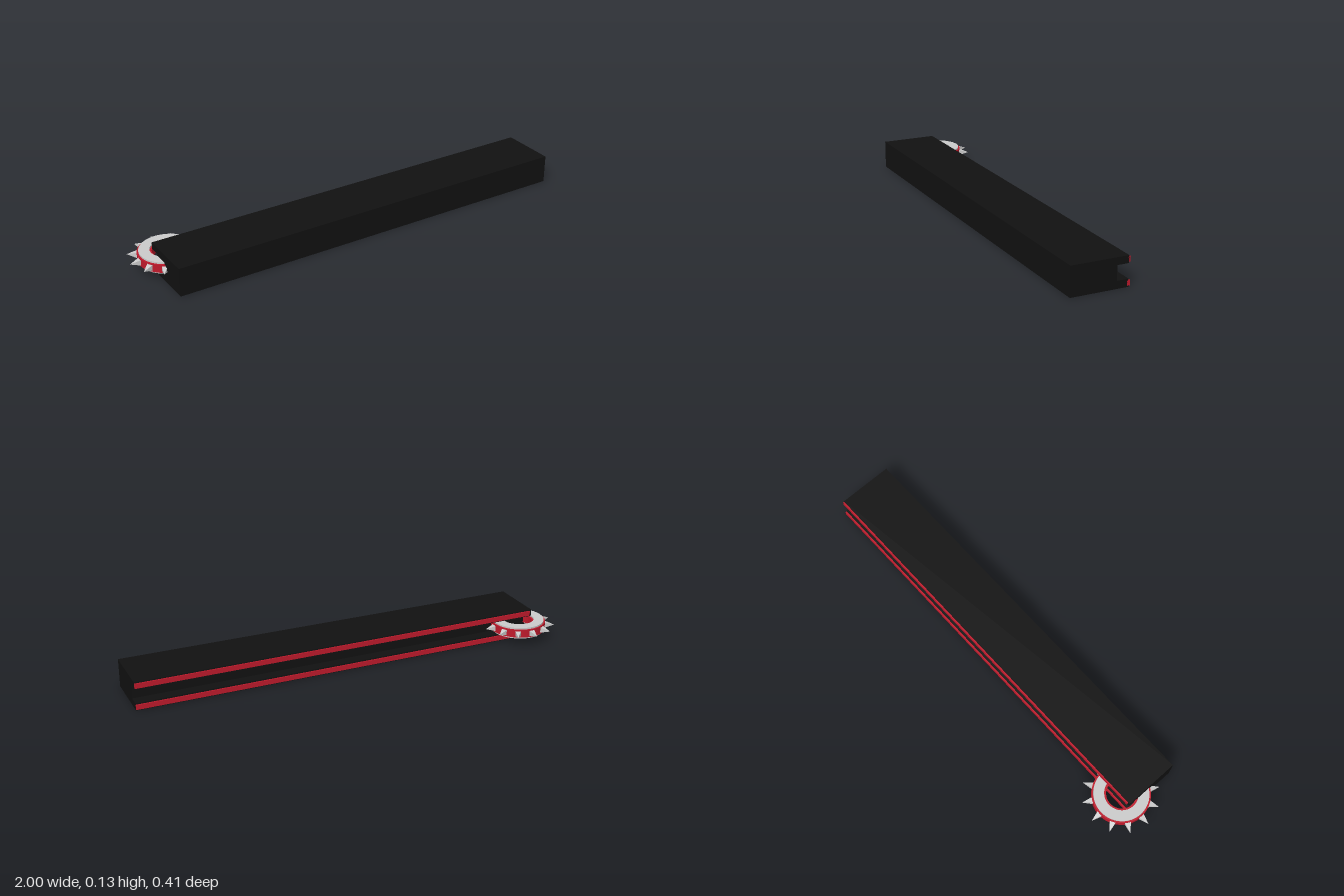
import * as THREE from 'three';
import { toCreasedNormals } from 'three/addons/utils/BufferGeometryUtils.js';

const black = new THREE.MeshStandardMaterial({ color: 0x111111 });
const red = new THREE.MeshStandardMaterial({ color: 0xc01a2c });
const grey = new THREE.MeshStandardMaterial({ color: 0xcccccc });
const spikeGrey = new THREE.MeshStandardMaterial({ color: 0xcccccc, flatShading: true });

const MID = 0.064; // mid height of the whole model
const LEFT = -0.89, RIGHT = 1;

function add(parent, name, geometry, material, x = 0, y = 0, z = 0) {
  const mesh = new THREE.Mesh(geometry, material);
  mesh.name = name;
  mesh.position.set(x, y, z);
  parent.add(mesh);
  return mesh;
}

// Flat ring of rectangular section around the y axis
function ring(inner, outer, height) {
  const h = height / 2;
  const profile = [[outer, -h], [outer, h], [inner, h], [inner, -h], [outer, -h]]
    .map(([r, y]) => new THREE.Vector2(r, y));
  return toCreasedNormals(new THREE.LatheGeometry(profile, 64), 0.6);
}

export function createModel() {
  const model = new THREE.Group();
  model.name = 'groovedBarWithSpikedWheel';

  // Bar: C-shaped section with a groove along the back (shape x = -z)
  const section = new THREE.Shape([
    [-0.204, 0], [0.048, 0], [0.048, 0.033], [-0.003, 0.033],
    [-0.003, 0.096], [0.048, 0.096], [0.048, 0.128], [-0.204, 0.128],
  ].map(([u, v]) => new THREE.Vector2(u, v)));
  const bar = new THREE.ExtrudeGeometry(section, { depth: RIGHT - LEFT, bevelEnabled: false });
  bar.rotateY(Math.PI / 2);
  add(model, 'bar', bar, black, LEFT);

  // Red edge strips on both lips of the groove
  for (const [name, side] of [['upperStrip', 1], ['lowerStrip', -1]]) {
    add(model, name, new THREE.BoxGeometry(RIGHT - LEFT - 0.01, 0.022, 0.012), red,
      (LEFT + RIGHT) / 2 + 0.005, MID + side * 0.048, -0.048);
  }

  // Spiked wheel set into the groove
  const wheel = new THREE.Group();
  wheel.name = 'spikedWheel';
  wheel.position.set(-0.829, MID, -0.034);
  model.add(wheel);
  add(wheel, 'wheelBody', ring(0.073, 0.119, 0.052), grey);
  add(wheel, 'wheelRim', ring(0.064, 0.126, 0.037), red);

  // Four-sided spikes pointing outwards
  const spike = new THREE.ConeGeometry(0.0135 * Math.SQRT2, 0.047, 4);
  spike.rotateY(Math.PI / 4);
  spike.rotateZ(-Math.PI / 2);
  spike.translate(0.1455, 0, 0);
  for (let i = 0; i < 12; i++) {
    add(wheel, 'spike', spike, spikeGrey).rotation.y = (i * Math.PI) / 6;
  }
  return model;
}
